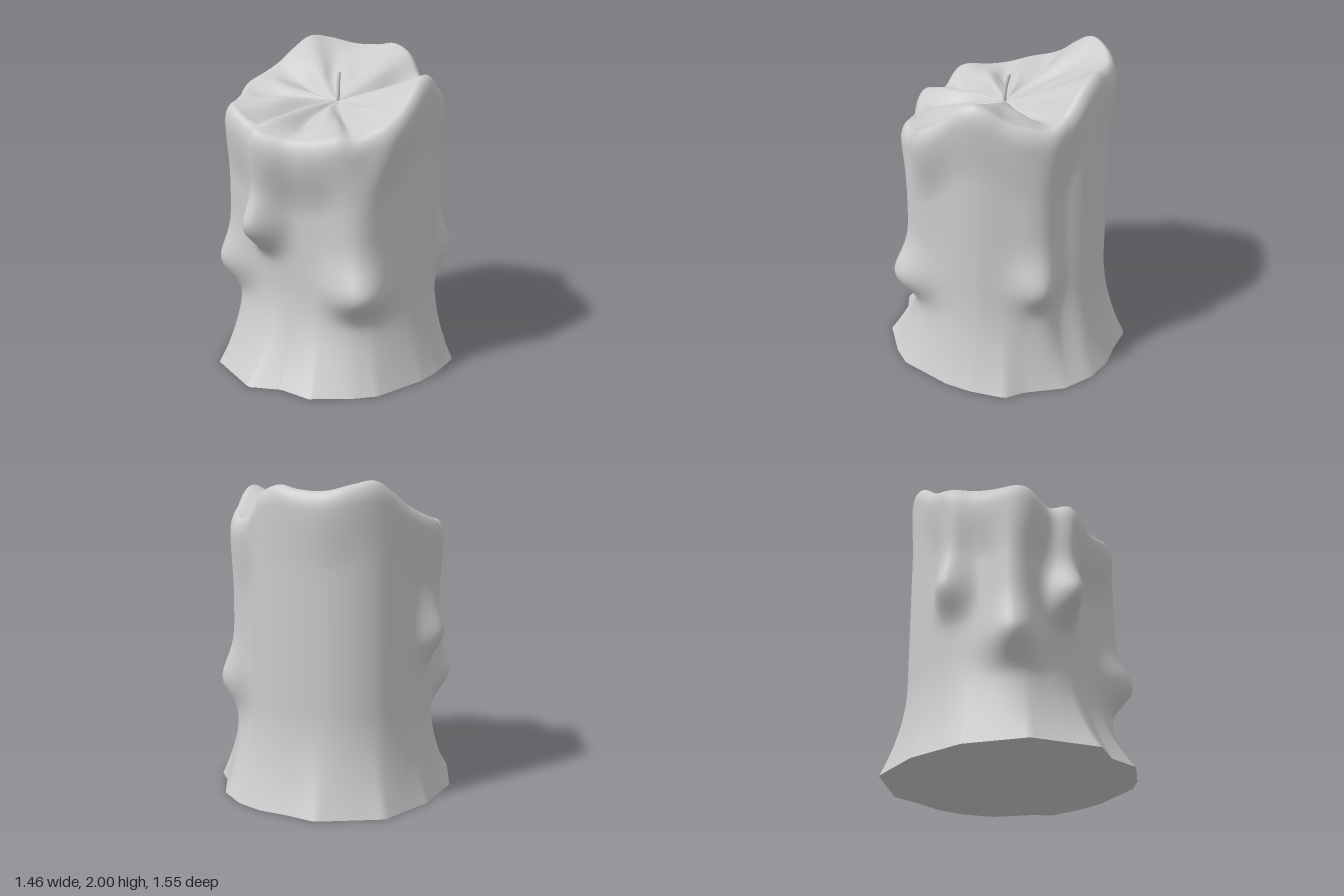
import * as THREE from 'three';

const SEG = 180;
const smooth = THREE.MathUtils.smoothstep;
const lerp = THREE.MathUtils.lerp;

// Signed difference between two angles in degrees
const turn = (a, b) => ((a - b + 540) % 360) - 180;

// Smooth periodic curve through [degrees, value] keys
function ring(keys) {
  const n = keys.length;
  const key = (i) => {
    const w = Math.floor(i / n);
    const k = keys[i - w * n];
    return [k[0] + 360 * w, k[1]];
  };
  return (deg) => {
    let i = n - 1;
    while (i >= 0 && keys[i][0] > deg) i--;
    const [a, b, c, d] = [key(i - 1), key(i), key(i + 1), key(i + 2)];
    const len = c[0] - b[0], t = (deg - b[0]) / len;
    const m1 = (c[1] - a[1]) / (c[0] - a[0]) * len;
    const m2 = (d[1] - b[1]) / (d[0] - b[0]) * len;
    const t2 = t * t, t3 = t2 * t;
    return (2 * t3 - 3 * t2 + 1) * b[1] + (t3 - 2 * t2 + t) * m1
      + (3 * t2 - 2 * t3) * c[1] + (t3 - t2) * m2;
  };
}

// Angles run from +x (0) through the front, +z (90)
const rimHeight = ring([[0, 1.9], [9, 1.87], [18, 1.785], [26, 1.72], [40, 1.64], [52, 1.585], [60, 1.6],
  [75, 1.57], [90, 1.56], [102, 1.58], [110, 1.61], [122, 1.6], [137, 1.69], [155, 1.69], [180, 1.75],
  [200, 1.84], [212, 1.93], [224, 2.0], [236, 1.985], [252, 1.945], [268, 1.95], [280, 1.97],
  [293, 1.92], [304, 1.8], [315, 1.74], [330, 1.77], [342, 1.815], [352, 1.88]]);
const rimRadius = ring([[0, 0.648], [15, 0.65], [32, 0.685], [45, 0.65], [60, 0.65], [75, 0.62], [90, 0.61],
  [110, 0.69], [121, 0.635], [136, 0.705], [150, 0.685], [165, 0.66], [180, 0.69], [195, 0.655],
  [210, 0.645], [225, 0.67], [240, 0.685], [252, 0.68], [270, 0.65], [290, 0.64], [305, 0.63],
  [317, 0.675], [330, 0.665], [345, 0.645]]);
const bodyRadius = ring([[0, 0.615], [25, 0.595], [50, 0.585], [70, 0.535], [90, 0.52], [122, 0.565],
  [140, 0.605], [160, 0.595], [180, 0.605], [195, 0.61], [210, 0.635], [225, 0.66], [242, 0.658],
  [270, 0.634], [292, 0.634], [307, 0.6], [318, 0.635], [330, 0.625], [345, 0.618]]);

// Angular outline of the foot
const foot = [[0.73, 0], [0.7, 0.17], [0.56, 0.5], [0.45, 0.6], [0.21, 0.74], [0, 0.71], [-0.2, 0.775],
  [-0.57, 0.55], [-0.72, 0.18], [-0.71, -0.2], [-0.58, -0.57], [-0.21, -0.78], [0.0, -0.755],
  [0.17, -0.75], [0.35, -0.69], [0.52, -0.56], [0.64, -0.33], [0.73, -0.23]];
function footRadius(deg) {
  const c = Math.cos(deg * Math.PI / 180), s = Math.sin(deg * Math.PI / 180);
  for (let i = 0; i < foot.length; i++) {
    const [ax, az] = foot[i], [bx, bz] = foot[(i + 1) % foot.length];
    const sideA = c * az - s * ax, sideB = c * bz - s * bx;
    if (sideA <= 1e-9 && sideB > 1e-9 && ax * c + az * s > 0) {
      const t = sideA / (sideA - sideB);
      return Math.hypot(lerp(ax, bx, t), lerp(az, bz, t));
    }
  }
  return 0.73;
}

// Wax runs: angle, half width, ridge depth, height of end drop, drop depth
const drips = [[110, 14, 0.11, 0.98, 0.095], [180, 14, 0.065, 1.02, 0.06], [142, 19, 0.075, 0.67, 0.08],
  [50, 24, 0.065, 0.61, 0.11], [325, 16, 0.025, 0.71, 0.085]];

function sideRadius(deg, y, h) {
  const flare = Math.max(0, 1 - y / 0.62) ** 2;
  let r = lerp(bodyRadius(deg), footRadius(deg), flare);
  for (const [angle, width, ridge, dropY, drop] of drips) {
    const a = Math.abs(turn(deg, angle)) / width;
    const dy = y - dropY;
    const fall = dy > 0 ? 0.18 : 0.15;
    r += (1 - flare) * ridge * Math.exp(-((a / 0.7) ** 2)) * smooth(dy, -0.22, 0.06);
    r += (1 - flare) * drop * Math.exp(-((a / 0.75) ** 2) - (dy / fall) ** 2);
  }
  // Swollen lip below the rim
  return lerp(r, rimRadius(deg), smooth(y, h - 0.5, h - 0.1));
}

// Radial folds of the top: angle, half width, depth
const folds = [[129, 8, -0.06], [115, 9, 0.03], [97, 8, -0.04], [80, 11, 0.03], [54, 10, -0.03], [34, 10, 0.025],
  [150, 10, 0.03], [167, 8, -0.03], [181, 9, 0.03], [196, 9, -0.04], [233, 11, -0.03], [255, 14, 0.02],
  [311, 9, -0.04], [337, 16, 0.025]];
function topHeight(deg, t, h) {
  let y = lerp(1.685, h, t ** 1.12);
  const swell = Math.sin(Math.PI * t ** 1.3);
  for (const [angle, width, depth] of folds) {
    const bend = 5 * Math.sin(6 * t + angle);
    y += depth * swell * Math.exp(-((turn(deg + bend, angle) / width) ** 2));
  }
  return y;
}

// One column of the candle, from foot to the centre of the top
function column(deg) {
  const h = rimHeight(deg), shoulder = h - 0.11;
  const points = [];
  for (let i = 0; i <= 64; i++) {
    const y = shoulder * i / 64;
    points.push([sideRadius(deg, y, h), y]);
  }
  const r = points[64][0];
  for (let i = 1; i <= 8; i++) {
    const a = i / 8 * Math.PI / 2;
    points.push([r - 0.06 * (1 - Math.cos(a)), shoulder + 0.11 * Math.sin(a)]);
  }
  for (let i = 1; i < 32; i++) {
    const t = 1 - i / 32;
    points.push([(r - 0.06) * t, topHeight(deg, t, h)]);
  }
  points.push([0.0005, 1.685]);
  return points;
}

function waxGeometry() {
  const positions = [], index = [];
  let rows = 0;
  for (let s = 0; s < SEG; s++) {
    const deg = s * 360 / SEG, a = deg * Math.PI / 180;
    const points = column(deg);
    rows = points.length;
    for (const [r, y] of points) positions.push(r * Math.cos(a), y, r * Math.sin(a));
  }
  for (let s = 0; s < SEG; s++) {
    for (let j = 0; j < rows - 1; j++) {
      const a = s * rows + j, b = ((s + 1) % SEG) * rows + j;
      index.push(a, a + 1, b, b, a + 1, b + 1);
    }
  }
  const g = new THREE.BufferGeometry();
  g.setAttribute('position', new THREE.Float32BufferAttribute(positions, 3));
  g.setIndex(index);
  g.computeVertexNormals();
  return g;
}

export function createModel() {
  const model = new THREE.Group();
  model.name = 'meltedCandle';
  const material = new THREE.MeshStandardMaterial({ color: 0xcccccc });
  const add = (name, geometry) => {
    const mesh = new THREE.Mesh(geometry, material);
    mesh.name = name;
    model.add(mesh);
    return mesh;
  };

  add('wax', waxGeometry());

  // Flat underside
  const outline = new THREE.Shape(foot.map(([x, z]) => new THREE.Vector2(x, z)));
  add('underside', new THREE.ShapeGeometry(outline).rotateX(Math.PI / 2));

  // Slightly bent wick with a rounded tip
  const path = new THREE.CatmullRomCurve3([[0, 1.66, 0], [0.004, 1.72, 0], [0, 1.79, -0.01], [-0.003, 1.855, -0.025]]
    .map((p) => new THREE.Vector3(...p)));
  add('wick', new THREE.TubeGeometry(path, 16, 0.011, 10));
  add('wickTip', new THREE.SphereGeometry(0.011, 10, 8)).position.set(-0.003, 1.855, -0.025);

  return model;
}
